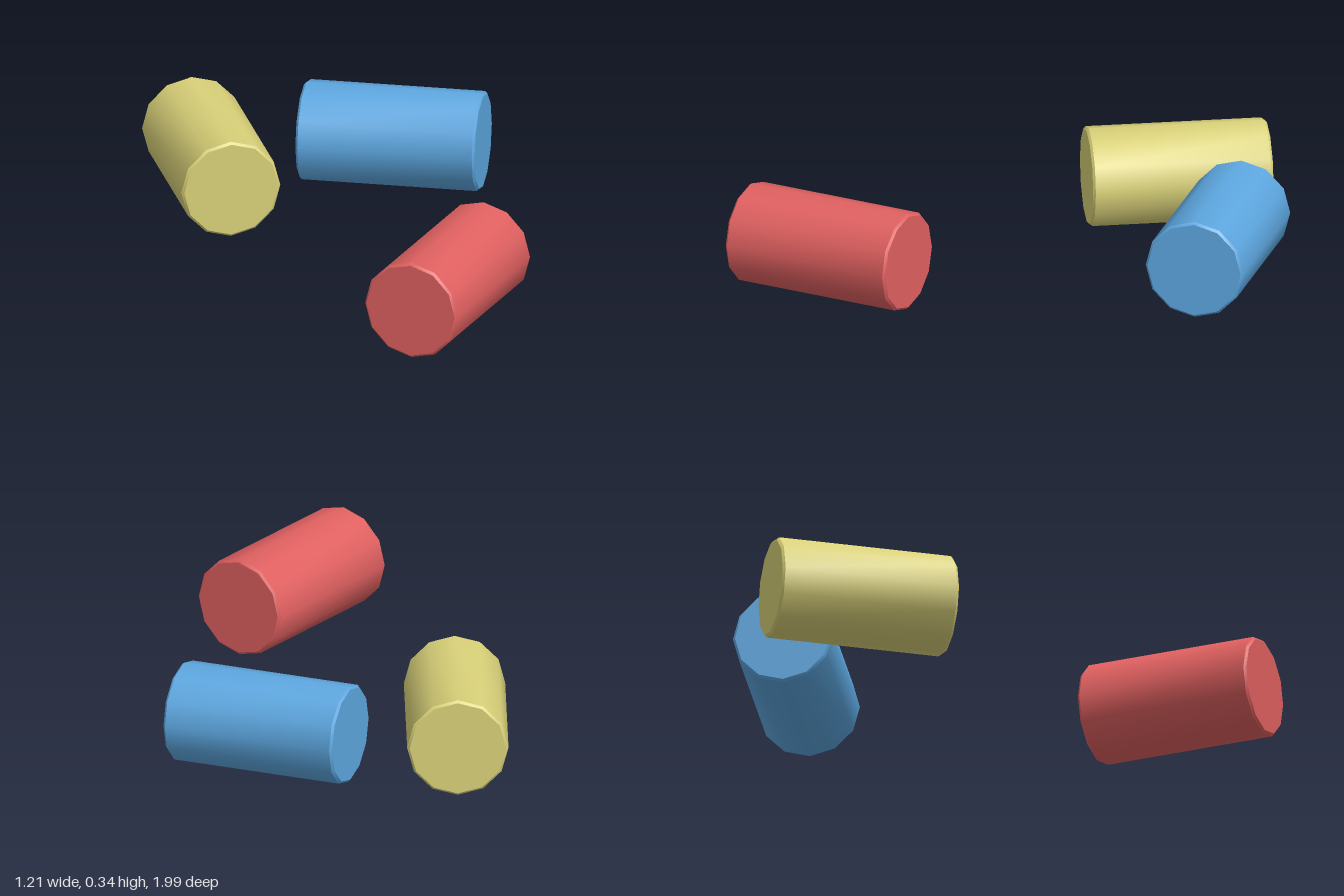
import * as THREE from 'three';
import { toCreasedNormals } from 'three/addons/utils/BufferGeometryUtils.js';

const RADIUS = 0.171, HALF = 0.307, BEVEL = 0.008;

// Twelve-sided roll lying along z, with a fine bevel at both rims
function rollGeometry() {
  const profile = [
    [0, -HALF], [RADIUS - BEVEL, -HALF], [RADIUS, -HALF + BEVEL],
    [RADIUS, HALF - BEVEL], [RADIUS - BEVEL, HALF], [0, HALF],
  ].map(([r, y]) => new THREE.Vector2(r, y));
  const geometry = new THREE.LatheGeometry(profile, 12);
  geometry.rotateX(Math.PI / 2);
  return toCreasedNormals(geometry, 0.6);
}

export function createModel() {
  const model = new THREE.Group();
  model.name = 'cylinders';
  const geometry = rollGeometry();

  // Three equal cylinders, each turned about the vertical
  const parts = [
    { name: 'red', color: 0xe06060, x: -0.087, z: 0.664, turn: 2.319 },
    { name: 'blue', color: 0x5da7e0, x: 0.257, z: -0.604, turn: 0.986 },
    { name: 'yellow', color: 0xd8d078, x: -0.384, z: -0.669, turn: -0.18 },
  ];
  for (const { name, color, x, z, turn } of parts) {
    const material = new THREE.MeshStandardMaterial({ color });
    material.name = name;
    const mesh = new THREE.Mesh(geometry, material);
    mesh.name = name + 'Cylinder';
    mesh.position.set(x, RADIUS, z);
    mesh.rotation.y = turn;
    model.add(mesh);
  }
  return model;
}
